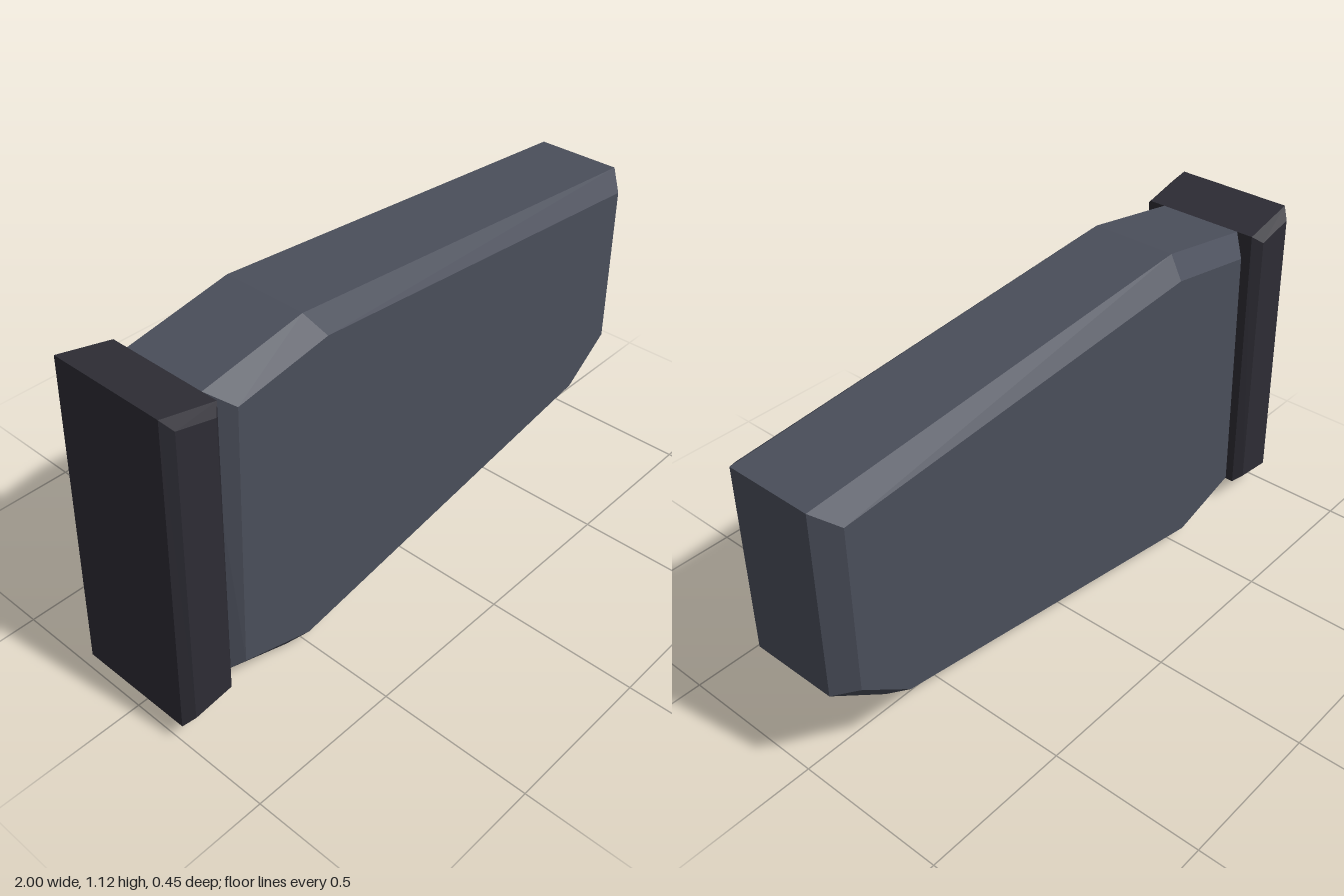
import * as THREE from 'three';

const slate = new THREE.MeshStandardMaterial({ color: 0x4a4e5a });
slate.name = 'slate';
const charcoal = new THREE.MeshStandardMaterial({ color: 0x2d2c34 });
charcoal.name = 'charcoal';

// Slab with chamfered rims: outlines run counter-clockwise seen from +z.
function bevelledSlab(name, outer, inner, zRim, zFace, material) {
  const n = outer.length;
  const rings = [[inner, -zFace], [outer, -zRim], [outer, zRim], [inner, zFace]]
    .map(([outline, z]) => outline.map(([x, y]) => [x, y, z]));
  const pos = [];
  const tri = (a, b, c) => pos.push(...a, ...b, ...c);

  // Side walls and chamfers
  for (let r = 0; r < 3; r++) {
    for (let i = 0; i < n; i++) {
      const j = (i + 1) % n;
      const a = rings[r][i], b = rings[r][j], c = rings[r + 1][j], d = rings[r + 1][i];
      tri(a, b, c);
      tri(a, c, d);
    }
  }
  // Flat front and back faces
  for (let i = 1; i < n - 1; i++) {
    tri(rings[3][0], rings[3][i], rings[3][i + 1]);
    tri(rings[0][0], rings[0][i + 1], rings[0][i]);
  }
  const geometry = new THREE.BufferGeometry();
  geometry.setAttribute('position', new THREE.Float32BufferAttribute(pos, 3));
  geometry.computeVertexNormals();
  const mesh = new THREE.Mesh(geometry, material);
  mesh.name = name;
  return mesh;
}

export function createModel() {
  const group = new THREE.Group();
  group.name = 'bevelledBlock';

  // Tapering main body
  group.add(bevelledSlab('body',
    [[-0.78, 1.06], [-0.815, 0.088], [-0.55, 0], [0.81, 0.25], [1, 0.39], [1, 1], [-0.43, 1.12]],
    [[-0.72, 1.01], [-0.76, 0.14], [-0.51, 0.065], [0.77, 0.28], [0.94, 0.408], [0.94, 0.953], [-0.4, 1.063]],
    0.142, 0.203, slate));

  // Slightly wider leaning end cap
  group.add(bevelledSlab('endCap',
    [[-0.96, 1.102], [-1, 0.067], [-0.815, 0.088], [-0.78, 1.06]],
    [[-0.935, 1.068], [-0.97, 0.097], [-0.838, 0.113], [-0.808, 1.037]],
    0.197, 0.224, charcoal));

  return group;
}
